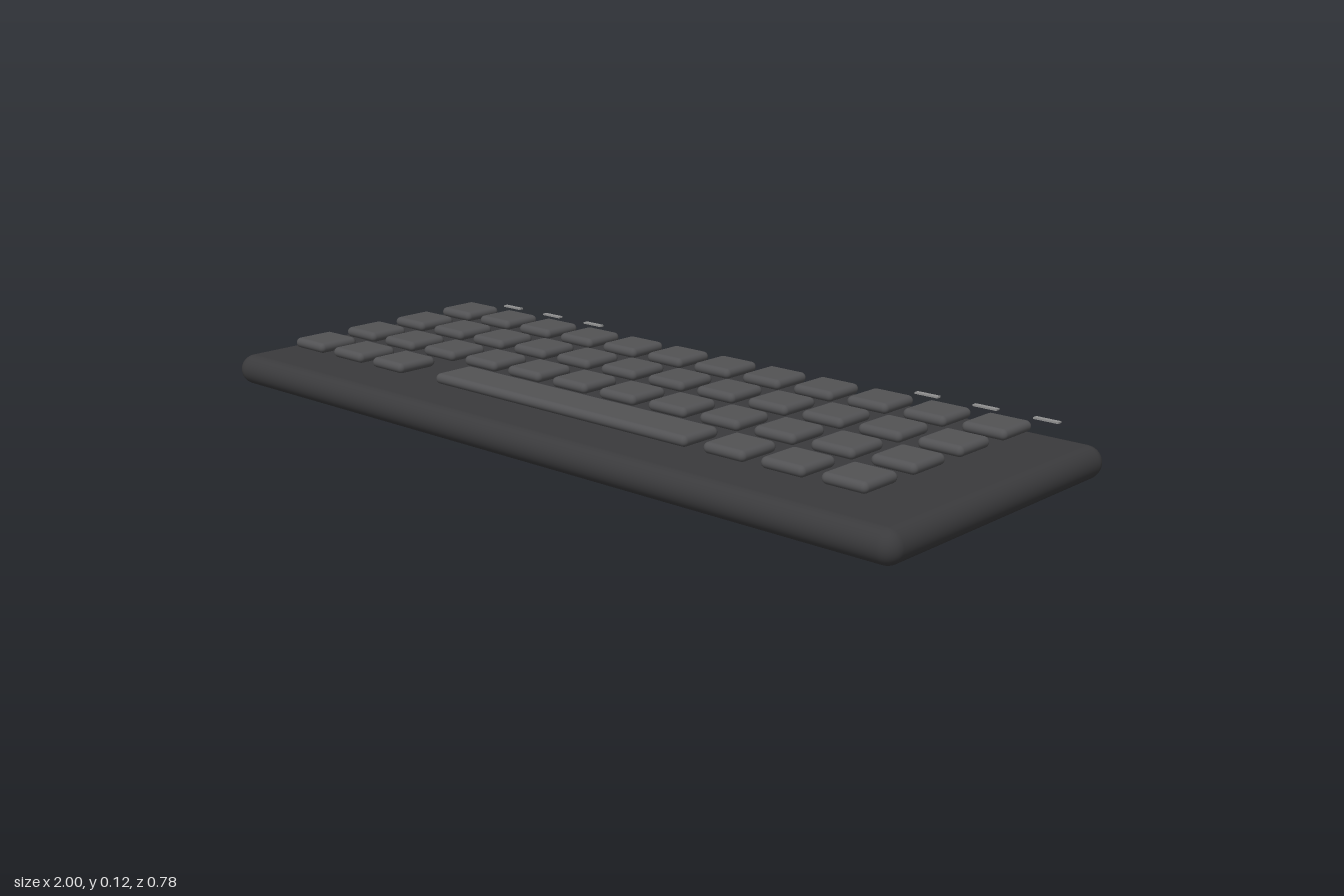
import * as THREE from 'three';
import { RoundedBoxGeometry } from 'three/addons/geometries/RoundedBoxGeometry.js';

export function createModel() {
  const model = new THREE.Group();
  model.name = 'keyboard';

  const bodyMat = new THREE.MeshStandardMaterial({ color: 0x3a3a3c });
  const keyMat = new THREE.MeshStandardMaterial({ color: 0x525254 });
  const markMat = new THREE.MeshStandardMaterial({ color: 0x909090 });

  const add = (parent, name, geometry, material, x, y, z) => {
    const mesh = new THREE.Mesh(geometry, material);
    mesh.name = name;
    mesh.position.set(x, y, z);
    parent.add(mesh);
  };

  // Flat body with fully rounded edges
  add(model, 'body', new RoundedBoxGeometry(2, 0.074, 0.78, 6, 0.037), bodyMat, 0, 0.037, 0);

  // Key grid: the middle of the front row is left free for the space bar
  const keys = new THREE.Group();
  keys.name = 'keys';
  model.add(keys);
  const keyY = 0.101;
  const rowZ = (row) => -0.268 + row * 0.1625;
  const columnX = (column) => -0.85 + column * 0.15;
  const keyGeo = new RoundedBoxGeometry(0.11, 0.025, 0.112, 4, 0.0125);
  for (let row = 0; row < 4; row++) {
    for (let column = 0; column < 12; column++) {
      if (row === 3 && column > 2 && column < 9) continue;
      add(keys, 'key', keyGeo, keyMat, columnX(column), keyY, rowZ(row));
    }
  }
  add(keys, 'spaceBar', new RoundedBoxGeometry(0.775, 0.025, 0.112, 4, 0.0125), keyMat, 0.0125, keyY, rowZ(3));

  // Thin marks along the back row
  const marks = new THREE.Group();
  marks.name = 'keyMarks';
  model.add(marks);
  const markGeo = new THREE.BoxGeometry(0.06, 0.004, 0.0125);
  for (const start of [-0.74, 0.587]) {
    for (let i = 0; i < 3; i++) {
      add(marks, 'keyMark', markGeo, markMat, start + i * 0.15, 0.12, -0.324);
    }
  }

  return model;
}
